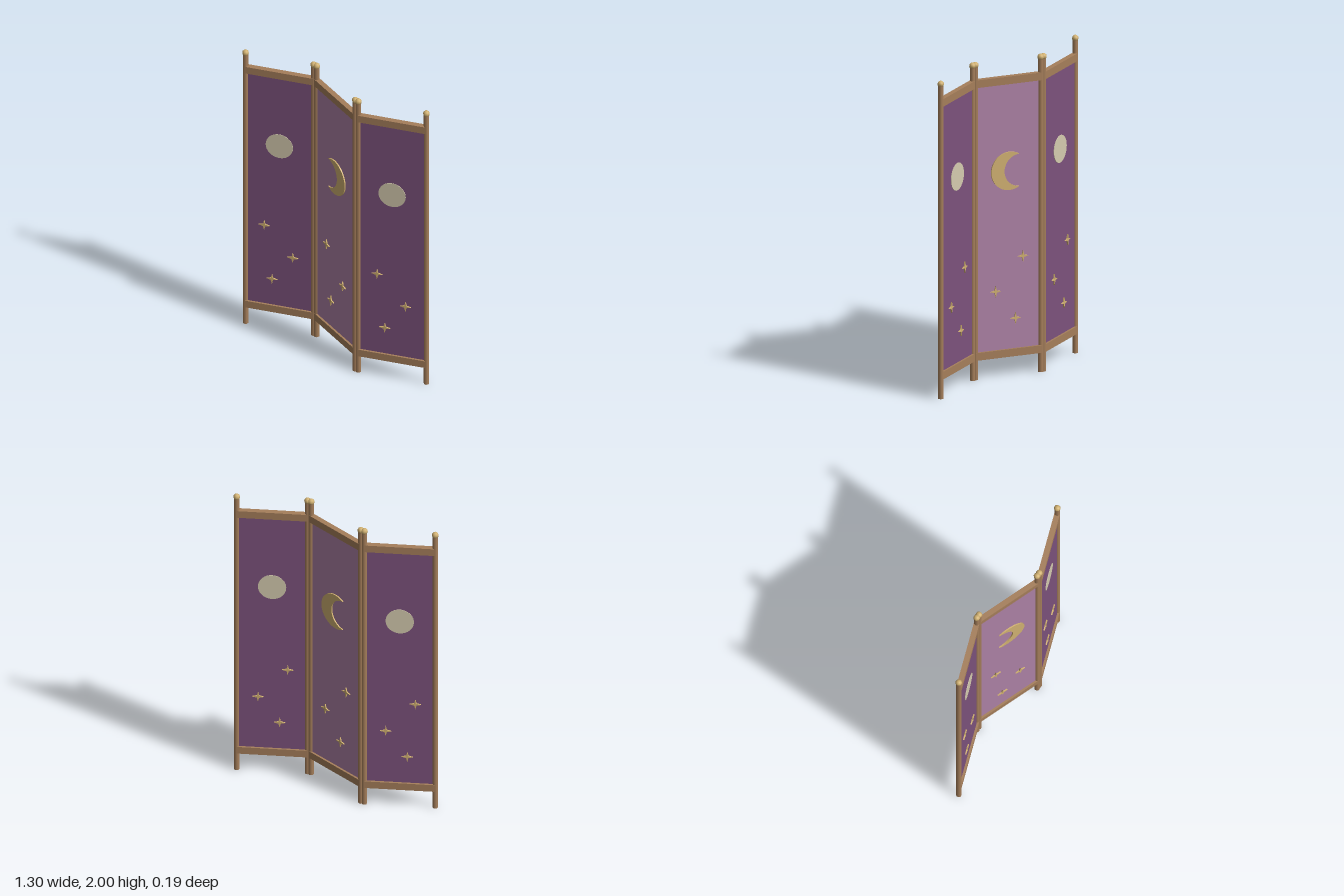
import * as THREE from 'three';

const mat = (name, color) => {
  const m = new THREE.MeshStandardMaterial({ color });
  m.name = name;
  return m;
};

const HALF = 0.215;                        // half distance between the posts of a panel
const FOLD = THREE.MathUtils.degToRad(20); // fold angle of each panel

// Extruded plate centred on the panel's middle plane, so it shows on both sides
function plate(shape, thickness) {
  const g = new THREE.ExtrudeGeometry(shape, { depth: thickness, bevelEnabled: false, curveSegments: 24 });
  return g.translate(0, 0, -thickness / 2);
}

// Four-pointed star
function starShape(outer, inner) {
  const pts = [];
  for (let i = 0; i < 8; i++) {
    const r = i % 2 ? inner : outer, a = Math.PI / 2 + i * Math.PI / 4;
    pts.push(new THREE.Vector2(r * Math.cos(a), r * Math.sin(a)));
  }
  return new THREE.Shape(pts);
}

// Crescent: outer arc, then a smaller arc back through the bite
function crescentShape(r) {
  const a = 2.13, tipX = r * Math.cos(a), tipY = r * Math.sin(a);
  const biteX = -0.068, biteR = Math.hypot(tipX - biteX, tipY);
  const b = Math.atan2(tipY, tipX - biteX);
  const s = new THREE.Shape();
  s.absarc(0, 0, r, -a, a, false);
  s.absarc(biteX, 0, biteR, b, -b, true);
  return s;
}

export function createModel() {
  const wood = mat('wood', 0xa67f5b);
  const gold = mat('gold', 0xd2b272);
  const plum = mat('plum fabric', 0x7d527d);
  const mauve = mat('mauve fabric', 0xae82a6);
  const cream = mat('cream', 0xd6ccb0);

  const postGeo = new THREE.CylinderGeometry(0.017, 0.017, 1.97, 8);
  const ballGeo = new THREE.SphereGeometry(0.021, 8, 6);
  const railGeo = new THREE.BoxGeometry(HALF * 2, 0.048, 0.034);
  const fabricGeo = new THREE.BoxGeometry(HALF * 2 - 0.02, 1.68, 0.008);
  const discGeo = new THREE.CylinderGeometry(0.086, 0.086, 0.014, 32).rotateX(Math.PI / 2);
  const crescentGeo = plate(crescentShape(0.12), 0.024);
  const starGeo = plate(starShape(0.035, 0.01), 0.024);

  function panel(name, middle) {
    const g = new THREE.Group();
    g.name = name;
    const add = (part, geo, material, x, y) => {
      const m = new THREE.Mesh(geo, material);
      m.name = part;
      m.position.set(x, y, 0);
      g.add(m);
    };
    // Frame
    for (const side of [-1, 1]) {
      add('post', postGeo, wood, side * HALF, 0.985);
      add('finial', ballGeo, gold, side * HALF, 1.979);
    }
    add('bottomRail', railGeo, wood, 0, 0.146);
    add('topRail', railGeo, wood, 0, 1.862);
    // Fabric and its ornaments
    add('fabric', fabricGeo, middle ? mauve : plum, 0, 1.004);
    if (middle) add('crescentMoon', crescentGeo, gold, -0.006, 1.29);
    else add('fullMoon', discGeo, cream, 0, 1.34);
    for (const [x, y] of [[-0.095, 0.745], [0.085, 0.54], [-0.046, 0.36]]) add('star', starGeo, gold, x, y);
    return g;
  }

  // Three panels folded in a zigzag
  const model = new THREE.Group();
  model.name = 'foldingScreen';
  [['rightPanel', -1], ['middlePanel', 0], ['leftPanel', 1]].forEach(([name, i]) => {
    const p = panel(name, i === 0);
    p.position.x = i * 0.4275;
    p.rotation.y = i === 0 ? -FOLD : FOLD;
    model.add(p);
  });
  return model;
}
